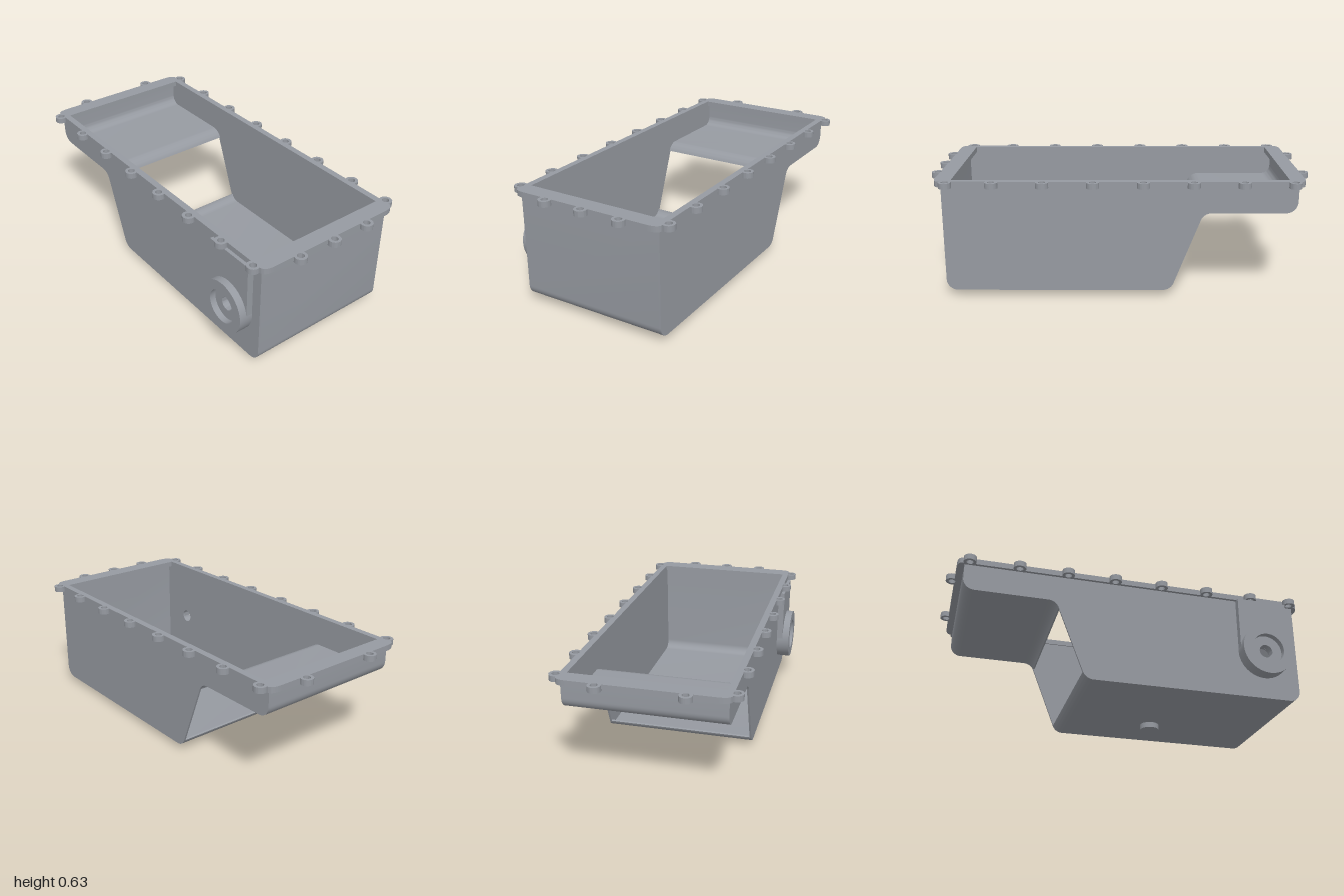
import * as THREE from 'three';
import { toCreasedNormals } from 'three/addons/utils/BufferGeometryUtils.js';

const T = 0.01;                        // sheet thickness
const Z_FRONT = 0.3985, Z_BACK = -0.4075;
const R = 0.06;                        // fillet radius of the sump profile
const BORE = { x: 0.72, y: 0.29, r: 0.037 };

// Profile points [x, y, nx, ny] along a fillet; n points into the pan (sign +1: towards the arc centre)
function fillet(cx, cy, fromDeg, toDeg, sign) {
  const out = [];
  for (let i = 0; i <= 10; i++) {
    const a = THREE.MathUtils.degToRad(fromDeg + (toDeg - fromDeg) * i / 10);
    const c = Math.cos(a), s = Math.sin(a);
    out.push([cx + R * c, cy + R * s, -sign * c, -sign * s]);
  }
  return out;
}

function extrude(shape, depth) {
  const g = new THREE.ExtrudeGeometry(shape, { depth, bevelEnabled: false, curveSegments: 16 });
  return toCreasedNormals(g, 0.6);
}

const toVec = ([x, y]) => new THREE.Vector2(x, y);

// Closed cross-section of a sheet following the profile
function sheetShape(profile) {
  const inner = profile.map(([x, y, nx, ny]) => [x + nx * T, y + ny * T]).reverse();
  return new THREE.Shape([...profile, ...inner].map(toVec));
}

// Rim outline with a round lug around every bolt hole
function rimShape() {
  const hx = 0.9545, hy = 0.42, d = 0.0125, r = 0.033, holeR = 0.018;
  const xs = [-0.892, -0.635, -0.377, -0.12, 0.138, 0.396, 0.654, 0.889];
  const beta = Math.PI - Math.acos(d / r);
  const s = new THREE.Shape();
  const lug = (x, y, phi) => {
    s.absarc(x, y, r, phi - beta, phi + beta, false);
    s.holes.push(new THREE.Path().absarc(x, y, holeR, 0, Math.PI * 2, true));
  };
  xs.forEach(x => lug(x, -hy - d, -Math.PI / 2));
  s.quadraticCurveTo(hx, -hy, hx, -hy + 0.065);
  [-0.215, 0, 0.215].forEach(y => lug(hx + d, y, 0));
  s.lineTo(hx, hy - 0.065);
  s.quadraticCurveTo(hx, hy, 0.9195, hy);
  [...xs].reverse().forEach(x => lug(x, hy + d, Math.PI / 2));
  s.quadraticCurveTo(-hx, hy, -hx, hy - 0.065);
  [0.215, -0.215].forEach(y => lug(-hx - d, y, Math.PI));
  s.lineTo(-hx, -hy + 0.065);
  s.quadraticCurveTo(-hx, -hy, -0.9225, -hy);
  // central opening
  s.holes.push(new THREE.Path([[-0.87, -0.385], [-0.87, 0.385], [0.866, 0.385], [0.866, -0.385]].map(toVec)));
  return s;
}

export function createModel() {
  const group = new THREE.Group();
  const metal = new THREE.MeshStandardMaterial({ color: 0x969aa1, side: THREE.DoubleSide });
  metal.name = 'castGrey';
  const add = (name, geometry, x = 0, y = 0, z = 0) => {
    const m = new THREE.Mesh(geometry, metal);
    m.name = name;
    m.position.set(x, y, z);
    group.add(m);
  };

  // Sheets of the shallow shelf and the deep sump, with the slope between them left open
  const shelf = [[-0.918, 0.6, 1, 0], ...fillet(-0.858, 0.517, 180, 270, 1), ...fillet(-0.475, 0.397, 90, 21, -1)];
  const sump = [...fillet(-0.228, 0.09, 201, 270, 1), ...fillet(0.858, 0.09, 270, 360, 1), [0.918, 0.6, -1, 0]];
  const innerDepth = Z_FRONT - Z_BACK - 2 * T;
  add('shelfFloor', extrude(sheetShape(shelf), innerDepth), 0, 0, Z_BACK + T);
  add('sumpFloor', extrude(sheetShape(sump), innerDepth), 0, 0, Z_BACK + T);

  // Long walls follow the whole profile; the front one is bored
  const wall = () => new THREE.Shape([...shelf, ...sump].map(toVec));
  const frontWall = wall();
  frontWall.holes.push(new THREE.Path().absarc(BORE.x, BORE.y, BORE.r, 0, Math.PI * 2, true));
  add('backWall', extrude(wall(), T), 0, 0, Z_BACK);
  add('frontWall', extrude(frontWall, T), 0, 0, Z_FRONT - T);

  // Bolted rim
  const rim = extrude(rimShape(), 0.03);
  rim.rotateX(-Math.PI / 2);
  add('rim', rim, 0, 0.6, -0.006);

  // Round port with a stepped recess
  const port = new THREE.LatheGeometry(
    [[0.143, 0], [0.143, 0.073], [0.09, 0.073], [0.09, 0.04], [BORE.r, 0.04], [BORE.r, -T]].map(toVec), 48);
  port.rotateX(Math.PI / 2);
  add('port', toCreasedNormals(port, 0.6), BORE.x, BORE.y, Z_FRONT);

  // Raised pad from the port up to the rim
  const pad = new THREE.Shape();
  pad.moveTo(0.142, 0);
  pad.lineTo(0.142, 0.31);
  pad.lineTo(-0.142, 0.31);
  pad.lineTo(-0.142, 0);
  pad.absarc(0, 0, 0.11, Math.PI, 0, true);
  add('portPad', extrude(pad, 0.034), BORE.x, BORE.y, Z_FRONT);

  // Drain plug under the sump
  add('drainPlug', new THREE.CylinderGeometry(0.053, 0.053, 0.034, 32), 0.234, 0.017, -0.15);

  return group;
}
